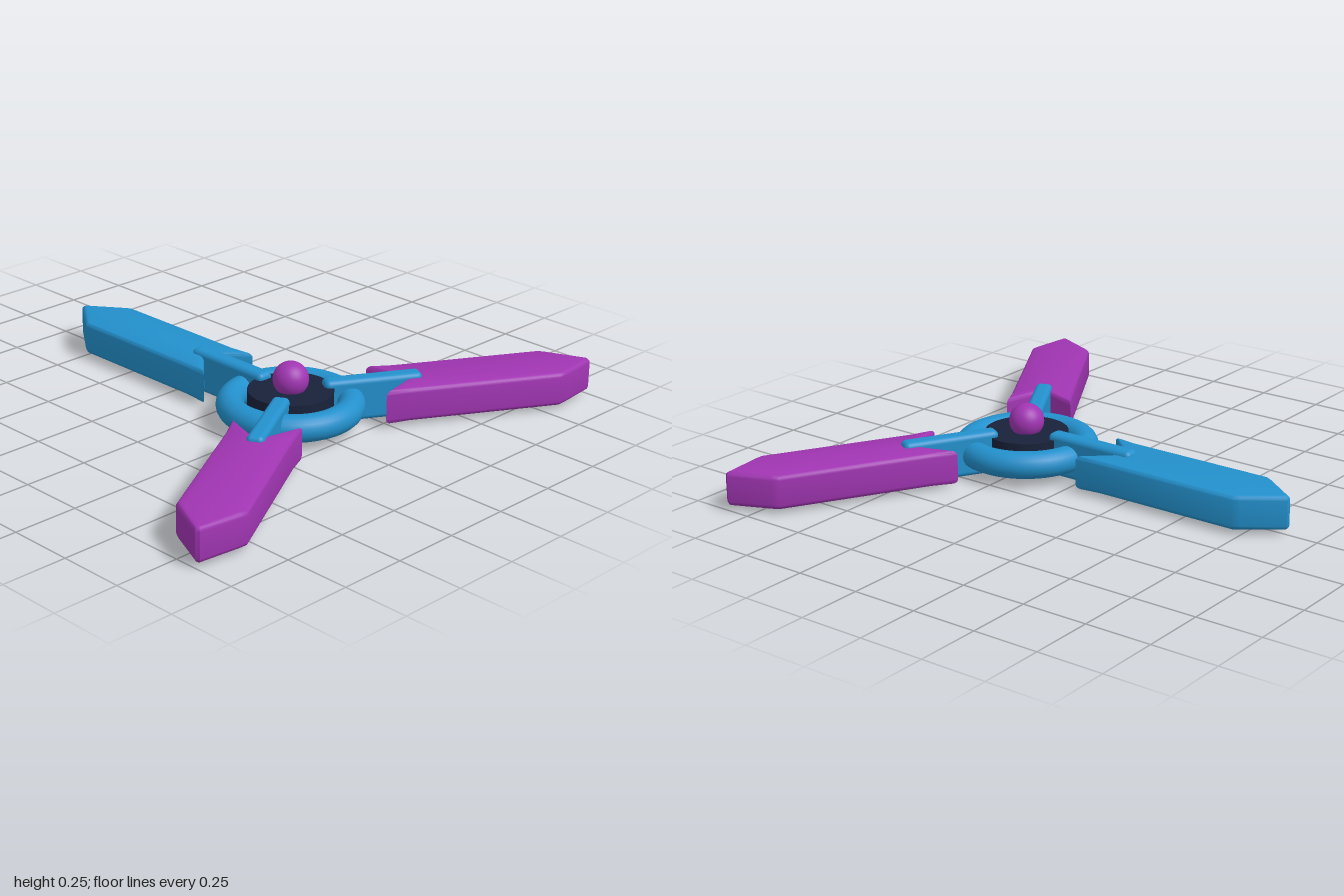
import * as THREE from 'three';
import { toCreasedNormals } from 'three/addons/utils/BufferGeometryUtils.js';
import { RoundedBoxGeometry } from 'three/addons/geometries/RoundedBoxGeometry.js';

const MID = 0.082; // mid height of the flat assembly
const blue = new THREE.MeshStandardMaterial({ color: 0x2390cc });
const purple = new THREE.MeshStandardMaterial({ color: 0xa035b2 });
const dark = new THREE.MeshStandardMaterial({ color: 0x18223a });

function addMesh(parent, name, geometry, material, x = 0, y = 0, z = 0) {
  const mesh = new THREE.Mesh(geometry, material);
  mesh.name = name;
  mesh.position.set(x, y, z);
  parent.add(mesh);
  return mesh;
}

// Arrow-shaped blade: pointed tip, swallow-tail notch, rounded edges
function bladeGeometry() {
  const shape = new THREE.Shape([
    [0, 0.455], [0.125, 0.323], [0.12, 0.42], [0.12, 0.995],
    [0.105, 1.02], [0.008, 1.152], [-0.008, 1.152], [-0.105, 1.02],
    [-0.12, 0.995], [-0.12, 0.42], [-0.125, 0.323],
  ].map(([x, y]) => new THREE.Vector2(x, y)));
  const bevel = 0.018, height = 0.13;
  const geometry = new THREE.ExtrudeGeometry(shape, {
    depth: height - 2 * bevel, bevelThickness: bevel,
    bevelSize: bevel, bevelOffset: -bevel, bevelSegments: 4,
  });
  geometry.translate(0, 0, bevel - height / 2);
  geometry.rotateX(-Math.PI / 2);
  return toCreasedNormals(geometry, 0.6);
}

export function createModel() {
  const model = new THREE.Group();
  model.name = 'spinner';
  const rotor = new THREE.Group();
  rotor.name = 'rotor';
  rotor.position.z = 0.27;
  model.add(rotor);

  // Centre: ring, hub and ball
  const ring = new THREE.TorusGeometry(0.22, 0.051, 20, 64).rotateX(Math.PI / 2);
  addMesh(rotor, 'ring', ring, blue, 0, MID, 0);
  addMesh(rotor, 'hub', new THREE.CylinderGeometry(0.157, 0.157, 0.116, 48), dark, 0, MID, 0);
  addMesh(rotor, 'ball', new THREE.SphereGeometry(0.066, 32, 24), purple, 0, 0.179, 0);

  // Three arms, each a connecting bar and a blade
  const blade = bladeGeometry();
  const bar = new RoundedBoxGeometry(0.066, 0.164, 0.37, 4, 0.02);
  [['back', blue], ['right', purple], ['left', purple]].forEach(([side, material], i) => {
    const arm = new THREE.Group();
    arm.name = side + 'Arm';
    arm.rotation.y = i * Math.PI * 2 / 3;
    addMesh(arm, side + 'Blade', blade, material, 0, MID, 0);
    addMesh(arm, side + 'Bar', bar, blue, 0, MID, -0.307);
    rotor.add(arm);
  });
  return model;
}
